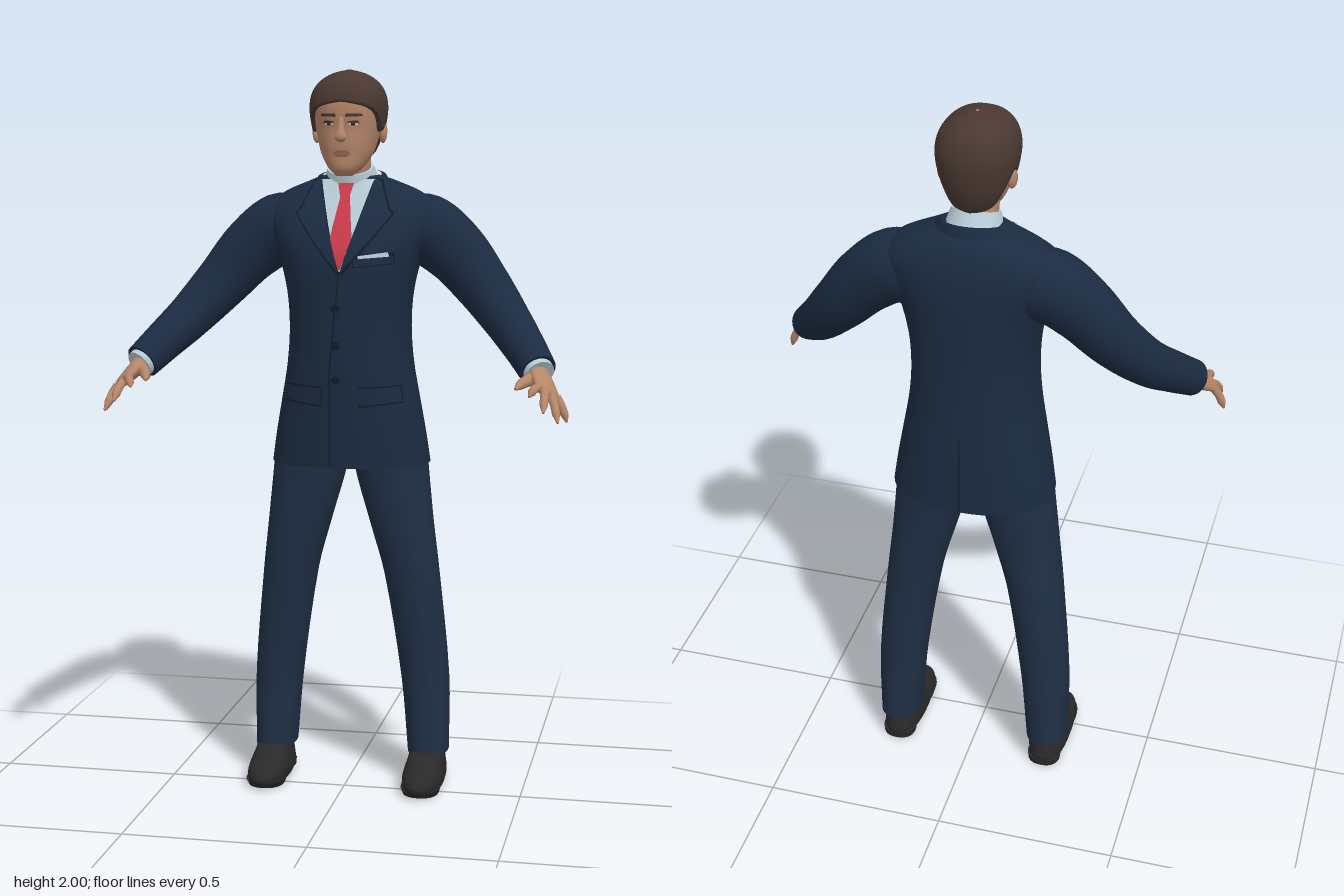
import * as THREE from 'three';

const mat = (name, color) => Object.assign(new THREE.MeshStandardMaterial({ color }), { name });
const V = (x, y, z) => new THREE.Vector3(x, y, z);
const lerp = THREE.MathUtils.lerp;

// Skin a stack of point rows; closed rows wrap around, caps close the ends
function grid(rows, closed = true, caps = false) {
  const n = rows[0].length, pos = rows.flat().flatMap(p => p.toArray()), idx = [];
  for (let i = 0; i < rows.length - 1; i++)
    for (let j = 0; j < (closed ? n : n - 1); j++) {
      const a = i * n + j, b = i * n + (j + 1) % n;
      idx.push(a, b, b + n, a, b + n, a + n);
    }
  if (caps) [rows[0], rows[rows.length - 1]].forEach((row, end) => {
    const base = pos.length / 3, c = V(0, 0, 0);
    row.forEach(p => { c.add(p); pos.push(...p.toArray()); });
    pos.push(...c.divideScalar(n).toArray());
    for (let j = 0; j < n; j++) {
      const k = (j + 1) % n;
      idx.push(base + n, base + (end ? j : k), base + (end ? k : j));
    }
  });
  const g = new THREE.BufferGeometry();
  g.setAttribute('position', new THREE.Float32BufferAttribute(pos, 3));
  g.setIndex(idx);
  g.computeVertexNormals();
  return g;
}

// Smooth lookup in a table whose first column is y
function at(t, y) {
  const last = t.length - 1;
  let i = 0;
  while (i < last - 1 && y > t[i + 1][0]) i++;
  const h = t[i + 1][0] - t[i][0], u = THREE.MathUtils.clamp((y - t[i][0]) / h, 0, 1);
  const slope = (m, k) => {
    const a = t[Math.max(m - 1, 0)], b = t[Math.min(m + 1, last)];
    return (b[k] - a[k]) / (b[0] - a[0]);
  };
  return t[i].map((v, k) => {
    const w = t[i + 1][k], u2 = u * u, u3 = u2 * u;
    return v * (2 * u3 - 3 * u2 + 1) + w * (3 * u2 - 2 * u3)
      + h * (slope(i, k) * (u3 - 2 * u2 + u) + slope(i + 1, k) * (u3 - u2));
  });
}

// Point on a rounded section [y, halfWidth, zFront, zBack, centreX]
const POWER = 2.3;
const bend = v => Math.sign(v) * Math.abs(v) ** (2 / POWER);
const onSection = ([y, w, f, b, cx = 0], a) =>
  V(cx + w * bend(Math.sin(a)), y, (f + b) / 2 + (f - b) / 2 * bend(Math.cos(a)));

function loft(table, n = 40, sub = 4) {
  const rows = [], count = (table.length - 1) * sub;
  for (let i = 0; i <= count; i++) {
    const k = Math.min(Math.floor(i / sub), table.length - 2);
    const s = at(table, lerp(table[k][0], table[k + 1][0], i / sub - k));
    rows.push(Array.from({ length: n }, (_, j) => onSection(s, j / n * Math.PI * 2)));
  }
  return grid(rows, true, true);
}

// Elliptical tube along a curve; radii are [across, through] per point
function sweep(pts, radii, side = V(0, 0, 1), steps = 24, n = 20) {
  const curve = new THREE.CatmullRomCurve3(pts), rows = [];
  for (let i = 0; i <= steps; i++) {
    const t = i / steps, p = curve.getPoint(t), T = curve.getTangent(t);
    const s = side.clone().addScaledVector(T, -side.dot(T)).normalize(), q = T.clone().cross(s);
    const f = t * (radii.length - 1), k = Math.min(Math.floor(f), radii.length - 2);
    const r = [0, 1].map(c => lerp(radii[k][c], radii[k + 1][c], f - k));
    rows.push(Array.from({ length: n }, (_, j) => {
      const a = j / n * Math.PI * 2;
      return p.clone().addScaledVector(s, r[0] * Math.cos(a)).addScaledVector(q, r[1] * Math.sin(a));
    }));
  }
  return grid(rows, true, true);
}

// Thin panel lying on the front (dir 1) or back (dir -1) of a lofted body, between two edges
function panel(table, left, right, off, dir = 1, rowsN = 16, cols = 8) {
  const along = (e, t) => {
    const f = t * (e.length - 1), k = Math.min(Math.floor(f), e.length - 2);
    return [0, 1].map(c => lerp(e[k][c], e[k + 1][c], f - k));
  };
  const rows = [];
  for (let i = 0; i <= rowsN; i++) {
    const l = along(left, i / rowsN), r = along(right, i / rowsN), row = [];
    for (let j = 0; j <= cols; j++) {
      const u = dir > 0 ? j / cols : 1 - j / cols, x = lerp(l[0], r[0], u), y = lerp(l[1], r[1], u);
      const [, w, f, b] = at(table, y), k = Math.max(0, 1 - Math.abs(x / w) ** POWER) ** (1 / POWER);
      row.push(V(x, y, (f + b) / 2 + dir * ((f - b) / 2 * k + off)));
    }
    rows.push(row);
  }
  return grid(rows, false);
}

const TORSO = [[0.92, .222, .05, -.27], [1.0, .21, .055, -.268], [1.1, .192, .06, -.265], [1.2, .175, .064, -.26],
  [1.3, .168, .066, -.257], [1.4, .175, .066, -.256], [1.5, .2, .06, -.256], [1.58, .235, .025, -.253],
  [1.63, .235, -.005, -.245], [1.67, .19, -.03, -.232], [1.7, .12, -.045, -.213], [1.715, .08, -.05, -.18]];
const HEAD = [[1.715, .022, .02, -.02], [1.735, .045, .034, -.08], [1.77, .067, .037, -.125], [1.8, .077, .041, -.15],
  [1.84, .086, .042, -.165], [1.88, .09, .049, -.17], [1.92, .09, .047, -.17], [1.96, .075, .02, -.15], [1.985, .03, -.05, -.1]];
const HAIR = [[1.75, .068, .05, -.15], [1.8, .085, .052, -.175], [1.85, .099, .055, -.188], [1.9, .105, .058, -.193],
  [1.94, .097, .05, -.185], [1.97, .075, .028, -.168], [1.99, .042, -.015, -.135], [2.0, .004, -.07, -.082]];
// Hairline height by angle from the front
const HAIRLINE = [[0, 1.912], [.6, 1.9], [.95, 1.885], [1.15, 1.865], [1.35, 1.835], [1.55, 1.84], [1.75, 1.86],
  [2.0, 1.82], [2.3, 1.775], [3.15, 1.755]];
const LEG = [[.085, .057, -.038, -.21, .222], [.3, .067, -.042, -.205, .212], [.6, .076, -.012, -.205, .175],
  [.75, .088, 0, -.205, .146], [.92, .103, .006, -.215, .114], [1.0, .1, .006, -.22, .11]];
const SHOE = [[.008, .053, .09, -.2, .222], [.03, .058, .1, -.205, .222], [.05, .056, .082, -.2, .222],
  [.075, .05, .02, -.195, .222], [.1, .047, -.045, -.19, .222], [.14, .045, -.06, -.18, .222]];

export function createModel() {
  const jacket = mat('navy jacket', 0x1b2b41), trousers = mat('navy trousers', 0x1f2f45);
  const seam = mat('dark seam', 0x111b2a), shirt = mat('pale shirt', 0xb8ccd6), tie = mat('red tie', 0xc93b4b);
  const skin = mat('skin', 0xb58669), lip = mat('lips', 0x96614f), hair = mat('brown hair', 0x4a3831);
  const shoe = mat('black leather', 0x2a2929), white = mat('eye white', 0xcfc6bd);
  const model = new THREE.Group();
  model.name = 'manInSuit';
  const add = (name, geometry, material) => {
    const m = new THREE.Mesh(geometry, material);
    m.name = name;
    model.add(m);
    return m;
  };
  const torso = (name, l, r, off, m, dir) => add(name, panel(TORSO, l, r, off, dir), m);
  const face = (name, l, r, off, m) => add(name, panel(HEAD, l, r, off, 1, 4, 6), m);

  // Jacket body, seams and buttons
  add('jacketBody', loft(TORSO, 56), jacket);
  torso('frontSeam', [[-.033, .925], [-.03, 1.2], [-.004, 1.46]], [[-.029, .925], [-.026, 1.2], [0, 1.46]], .002, seam);
  torso('backVent', [[-.002, .925], [-.002, 1.15]], [[.002, .925], [.002, 1.15]], .002, seam, -1);
  for (const y of [1.165, 1.26, 1.36]) {
    const b = add('jacketButton', new THREE.CylinderGeometry(.011, .012, .008, 16), seam);
    b.rotation.x = Math.PI / 2;
    b.position.set(-.012, y, at(TORSO, y)[2] + .003);
  }

  // Shirt front and tie
  torso('shirtFront', [[-.004, 1.46], [-.078, 1.705]], [[.004, 1.46], [.078, 1.705]], .004, shirt);
  torso('tieBlade', [[-.003, 1.465], [-.03, 1.55], [-.013, 1.66]], [[.003, 1.465], [.03, 1.55], [.013, 1.66]], .009, tie);
  torso('tieKnot', [[-.012, 1.655], [-.022, 1.695]], [[.012, 1.655], [.022, 1.695]], .016, tie);

  // Chest pocket with folded handkerchief
  torso('chestPocketEdge', [[.035, 1.47], [.035, 1.505]], [[.145, 1.48], [.145, 1.512]], .005, seam);
  torso('chestPocket', [[.038, 1.473], [.038, 1.494]], [[.142, 1.483], [.142, 1.502]], .009, jacket);
  torso('handkerchief', [[.05, 1.495], [.05, 1.503]], [[.132, 1.501], [.128, 1.513]], .011, shirt);

  // Shirt collar, neck, and the jacket collar round the back
  add('neck', sweep([V(0, 1.65, -.115), V(0, 1.73, -.09), V(0, 1.81, -.075)], [[.06, .06], [.057, .057], [.06, .06]], V(1, 0, 0)), skin);
  add('shirtCollar', sweep([V(0, 1.66, -.12), V(0, 1.705, -.102), V(0, 1.737, -.09)],
    [[.09, .082], [.075, .07], [.064, .064]], V(1, 0, 0)), shirt);
  const collarRows = [[.125, .1, 1.665], [.095, .088, 1.712], [.082, .078, 1.715]].map(([rx, rz, y], i) =>
    Array.from({ length: 25 }, (_, j) => {
      const a = (j / 24 - .5) * 3.5;
      return V(-rx * Math.sin(a), y + (i ? .02 : .005) * Math.cos(a), -.11 - rz * Math.cos(a));
    }));
  add('jacketCollar', grid(collarRows, false), jacket);

  // Head, nose, mouth
  add('head', loft(HEAD), skin);
  add('nose', sweep([V(0, 1.873, .042), V(0, 1.84, .049), V(0, 1.818, .052), V(0, 1.808, .044)],
    [[.007, .007], [.01, .01], [.017, .014], [.008, .005]], V(1, 0, 0)), skin);
  face('upperLip', [[-.027, 1.776], [-.012, 1.783]], [[.027, 1.776], [.012, 1.783]], .004, lip);
  face('lowerLip', [[-.014, 1.766], [-.026, 1.775]], [[.014, 1.766], [.026, 1.775]], .005, lip);

  // Hair shell that follows the hairline and tucks in at its edge
  const hairRows = [];
  for (let i = 0; i <= 18; i++)
    hairRows.push(Array.from({ length: 64 }, (_, j) => {
      const a = j / 64 * Math.PI * 2, low = at(HAIRLINE, Math.min(a, Math.PI * 2 - a))[1];
      const u = Math.max(i - 1, 0) / 17, y = lerp(low, 2, Math.sin(u * Math.PI / 2));
      const p = onSection(at(HAIR, y), a);
      if (i === 0) { p.x *= .84; p.z = -.065 + (p.z + .065) * .84; }
      return p;
    }));
  add('hair', grid(hairRows, true, false), hair);

  // Mirrored parts: s is the side
  for (const s of [1, -1]) {
    const side = s > 0 ? 'left' : 'right';
    const P = (x, y, z) => V(s * x, y, z);
    const pair = (name, inner, outer, off, m, fn) => {
      const flip = e => e.map(([x, y]) => [s * x, y]);
      fn(side + name, flip(s > 0 ? inner : outer), flip(s > 0 ? outer : inner), off, m);
    };

    // Lapel with dark edge, and hip pocket flap
    pair('LapelEdge', [[0, 1.455], [.038, 1.58], [.074, 1.71]], [[.008, 1.452], [.094, 1.555], [.137, 1.615], [.124, 1.63], [.095, 1.705]], .005, seam, torso);
    pair('Lapel', [[.002, 1.46], [.04, 1.58], [.076, 1.708]], [[.006, 1.46], [.09, 1.56], [.131, 1.614], [.12, 1.626], [.092, 1.7]], .009, jacket, torso);
    pair('FlapEdge', [[.05, 1.09], [.05, 1.147]], [[.165, 1.1], [.16, 1.15]], .004, seam, torso);
    pair('PocketFlap', [[.052, 1.096], [.052, 1.143]], [[.163, 1.106], [.158, 1.146]], .009, jacket, torso);

    // Eye, brow and ear
    pair('Eye', [[.02, 1.85], [.024, 1.859]], [[.046, 1.85], [.043, 1.86]], .003, white, face);
    pair('Iris', [[.028, 1.849], [.028, 1.859]], [[.038, 1.849], [.038, 1.859]], .005, shoe, face);
    pair('UpperLid', [[.017, 1.857], [.02, 1.861]], [[.05, 1.855], [.046, 1.863]], .006, hair, face);
    pair('Brow', [[.013, 1.872], [.014, 1.881]], [[.058, 1.874], [.055, 1.881]], .005, hair, face);
    const ear = add(side + 'Ear', new THREE.SphereGeometry(1, 16, 12), skin);
    ear.scale.set(.011, .03, .019);
    ear.position.set(s * .092, 1.832, -.085);
    ear.rotation.set(-.2, s * .3, 0);

    // Sleeve and shirt cuff
    add(side + 'Sleeve', sweep(
      [P(.12, 1.565, -.125), P(.205, 1.565, -.127), P(.285, 1.51, -.12), P(.365, 1.42, -.098), P(.445, 1.325, -.035), P(.5, 1.262, .04), P(.543, 1.21, .108)],
      [[.09, .09], [.092, .1], [.08, .09], [.07, .077], [.062, .064], [.056, .056], [.05, .05]], V(0, 0, 1), 40, 28), jacket);
    add(side + 'ShirtCuff', sweep([P(.53, 1.225, .09), P(.549, 1.203, .117)], [[.044, .042], [.043, .04]], V(0, 0, 1), 2), shirt);

    // Hand
    const across = P(.67, -.47, -.58).normalize(), knuckle = P(.577, 1.163, .182);
    add(side + 'Palm', sweep([P(.54, 1.212, .105), P(.56, 1.185, .148), P(.578, 1.161, .185), P(.583, 1.154, .194)],
      [[.028, .024], [.04, .02], [.041, .014], [.03, .005]], across), skin);
    [[P(.534, 1.158, .247), -.03], [P(.574, 1.121, .275), -.01], [P(.609, 1.092, .245), .01], [P(.627, 1.084, .175), .03]]
      .forEach(([tip, o]) => {
        const base = knuckle.clone().addScaledVector(across, o);
        const mid = base.clone().lerp(tip, .5).add(V(0, .008, 0));
        add(side + 'Finger', sweep([base, mid, tip], [[.0125, .0125], [.012, .012], [.0115, .0115], [.011, .011], [.003, .003]], across, 12, 10), skin);
      });
    add(side + 'Thumb', sweep([P(.54, 1.195, .135), P(.512, 1.186, .185), P(.497, 1.175, .23)],
      [[.02, .018], [.016, .015], [.013, .013], [.004, .004]], across, 12, 10), skin);

    // Trouser leg and shoe
    const place = t => t.map(([y, w, f, b, cx]) => [y, w, f, b, s * cx]);
    add(side + 'TrouserLeg', loft(place(LEG)), trousers);
    add(side + 'Shoe', loft(place(SHOE)), shoe);
    add(side + 'Heel', loft(place([[0, .046, -.11, -.2, .222], [.02, .048, -.105, -.203, .222]]), 28, 1), shoe);
    add(side + 'Sole', loft(place([[0, .05, .07, -.05, .222], [.02, .056, .095, -.08, .222]]), 28, 1), shoe);
  }
  return model;
}
